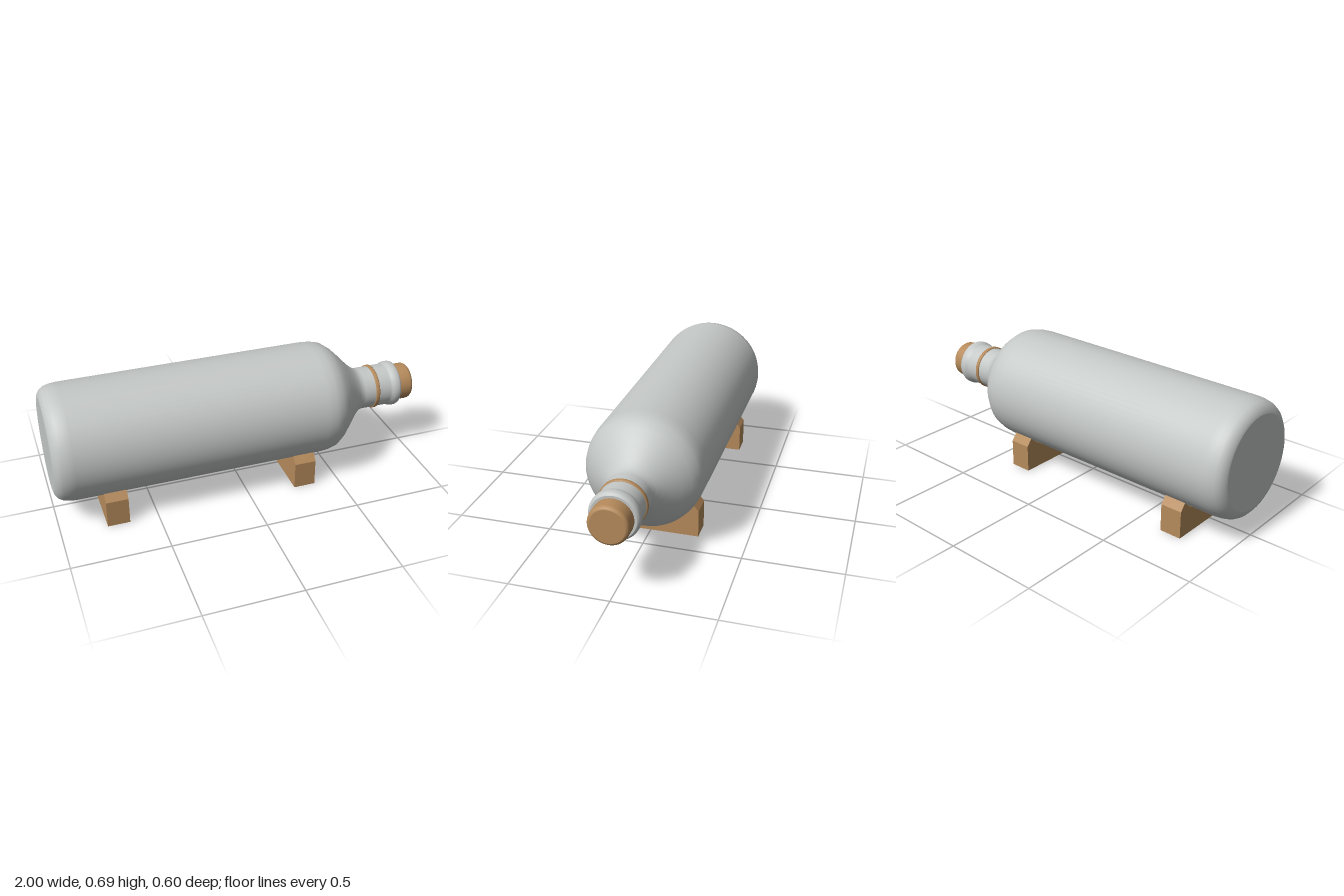
import * as THREE from 'three';

const AXIS_Y = 0.39; // height of the bottle's centre line

// Revolves [x, radius] points, listed from base to mouth, about the x direction.
function revolve(name, points, material) {
  const profile = points.map(([x, r]) => new THREE.Vector2(r, x));
  const mesh = new THREE.Mesh(new THREE.LatheGeometry(profile, 72), material);
  mesh.name = name;
  mesh.rotation.z = -Math.PI / 2;
  return mesh;
}

export function createModel() {
  const glass = new THREE.MeshStandardMaterial({ color: 0xc4c8c6 });
  glass.name = 'pale grey glass';
  const wood = new THREE.MeshStandardMaterial({ color: 0xb68b5c });
  wood.name = 'tan wood';

  const model = new THREE.Group();
  model.name = 'bottleOnCradles';

  // Bottle lying along x, mouth towards +x
  const bottle = new THREE.Group();
  bottle.name = 'bottle';
  bottle.position.y = AXIS_Y;
  bottle.add(
    revolve('base', [[-1, 0], [-1, 0.24]], glass),
    revolve('body', [
      [-1, 0.24], [-0.995, 0.259], [-0.98, 0.278], [-0.96, 0.29], [-0.93, 0.297], [-0.9, 0.3],
      [0.41, 0.3], [0.46, 0.296], [0.5, 0.286], [0.54, 0.257], [0.58, 0.216],
      [0.615, 0.178], [0.645, 0.148], [0.67, 0.127], [0.69, 0.116], [0.71, 0.113],
      [0.855, 0.113], [0.865, 0.115], [0.876, 0.121], [0.89, 0.123], [0.905, 0.122],
      [0.915, 0.118], [0.92, 0.11],
    ], glass),
    revolve('mouth', [[0.92, 0.11], [0.92, 0]], glass),
    revolve('neckRing', [
      [0.769, 0.112], [0.77, 0.117], [0.774, 0.119], [0.786, 0.119], [0.79, 0.117], [0.791, 0.112],
    ], wood),
    revolve('cork', [
      [0.91, 0.097], [0.93, 0.099], [0.98, 0.099], [0.99, 0.097], [0.997, 0.092], [1, 0.084],
    ], wood),
    revolve('corkEnd', [[1, 0.084], [1, 0]], wood),
  );
  model.add(bottle);

  // Cradle block with a round seat for the bottle and chamfered shoulders
  const seatR = 0.302, seatAngle = 0.755;
  const block = new THREE.Shape();
  block.moveTo(-0.25, 0);
  block.lineTo(0.25, 0);
  block.lineTo(0.25, 0.145);
  block.lineTo(seatR * Math.cos(seatAngle), AXIS_Y - seatR * Math.sin(seatAngle));
  block.absarc(0, AXIS_Y, seatR, -seatAngle, -Math.PI + seatAngle, true);
  block.lineTo(-0.25, 0.145);
  block.closePath();
  const cradleGeometry = new THREE.ExtrudeGeometry(block, {
    depth: 0.115, bevelEnabled: false, curveSegments: 32,
  });
  cradleGeometry.rotateY(Math.PI / 2);

  for (const [name, x] of [['baseCradle', -0.765], ['shoulderCradle', 0.25]]) {
    const cradle = new THREE.Mesh(cradleGeometry, wood);
    cradle.name = name;
    cradle.position.x = x;
    model.add(cradle);
  }

  return model;
}
